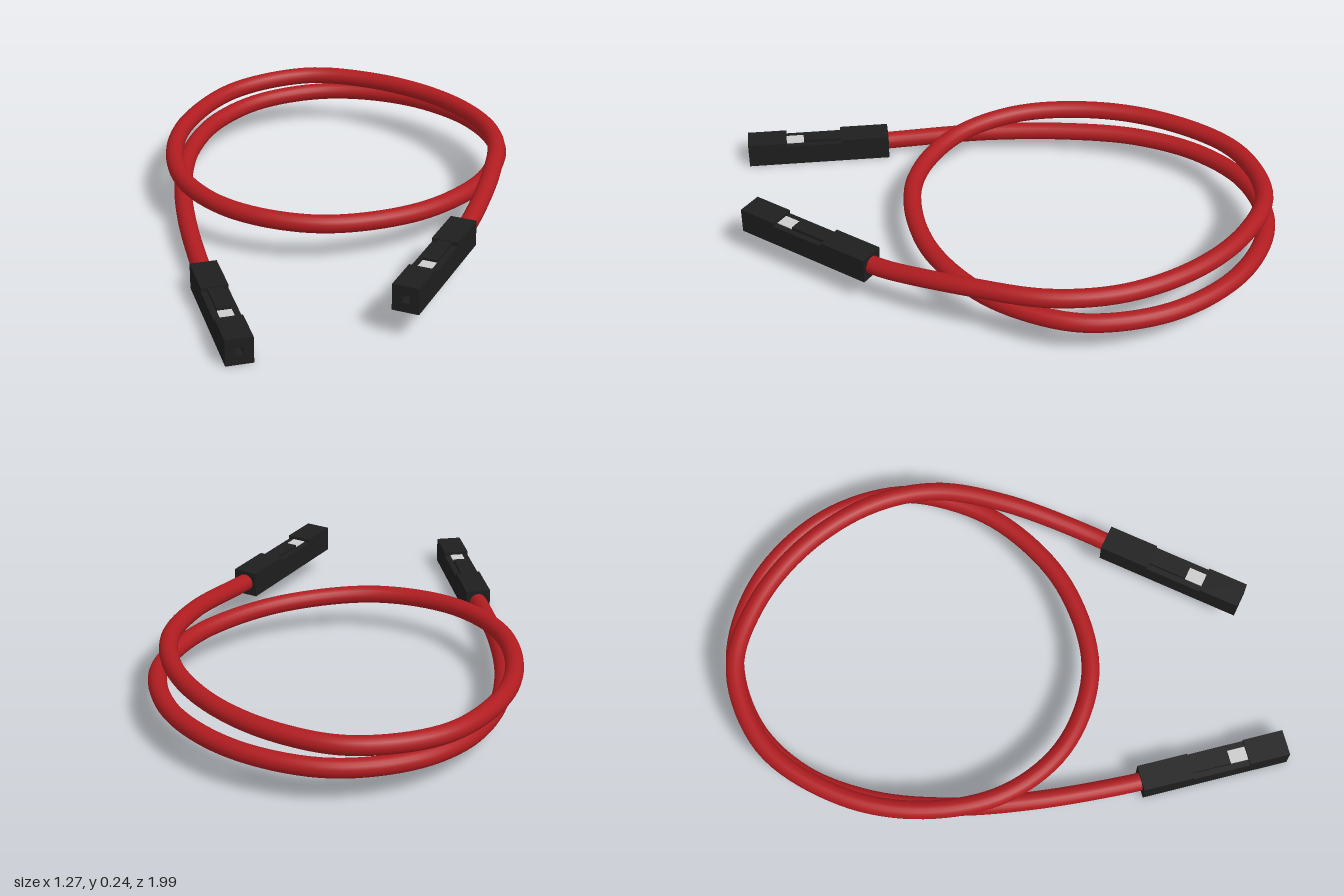
import * as THREE from 'three';

const W = 0.092;       // connector width and height
const LEN = 0.53;      // connector length
const WIRE_R = 0.032;

const red = new THREE.MeshStandardMaterial({ color: 0xb01c20 });
const black = new THREE.MeshStandardMaterial({ color: 0x1e1e1e });
const metal = new THREE.MeshStandardMaterial({ color: 0xcccccc });

function block(name, w, h, z0, z1, y0, material) {
  const mesh = new THREE.Mesh(new THREE.BoxGeometry(w, h, z1 - z0), material);
  mesh.position.set(0, y0 + h / 2, (z0 + z1) / 2);
  mesh.name = name;
  return mesh;
}

// Front end of the housing: a square sleeve with a pin socket
function socketEnd(z0, z1) {
  const shape = new THREE.Shape();
  shape.moveTo(-W / 2, 0).lineTo(W / 2, 0).lineTo(W / 2, W).lineTo(-W / 2, W).closePath();
  const a = 0.013, c = W / 2;
  const hole = new THREE.Path();
  hole.moveTo(-a, c - a).lineTo(-a, c + a).lineTo(a, c + a).lineTo(a, c - a).closePath();
  shape.holes.push(hole);
  const mesh = new THREE.Mesh(
    new THREE.ExtrudeGeometry(shape, { depth: z1 - z0, bevelEnabled: false }), black);
  mesh.position.z = z0;
  mesh.name = 'socketEnd';
  return mesh;
}

// Connector runs along +z from the wire entry, standing on its own y = 0
function connector(name, x, y, z, dx, dz) {
  const g = new THREE.Group();
  g.name = name;
  const n0 = 0.18, n1 = 0.385, floor = W - 0.014;
  g.add(
    block('housingRear', W, W, 0, n0, 0, black),
    block('housingWaist', W, floor, n0, n1, 0, black),
    socketEnd(n1, LEN),
    block('latchTongue', 0.05, 0.011, n0, 0.32, floor, black),
    block('metalContact', 0.048, 0.003, 0.32, n1, floor, metal),
  );
  g.position.set(x, y, z);
  g.rotation.y = Math.atan2(dx, dz);
  return g;
}

export function createModel() {
  const model = new THREE.Group();
  model.name = 'jumperWire';

  // Wire: just over one and a half turns, rising from the low to the high connector
  const path = [
    [-0.465, 0.047, 0.50], [-0.485, 0.05, 0.42], [-0.545, 0.07, 0.10], [-0.57, 0.083, -0.20],
    [-0.545, 0.098, -0.48], [-0.45, 0.108, -0.72], [-0.28, 0.118, -0.89],
    [-0.02, 0.125, -0.967], [0.27, 0.13, -0.885], [0.50, 0.132, -0.67],
    [0.598, 0.132, -0.40], [0.57, 0.13, -0.20], [0.47, 0.13, 0.0], [0.24, 0.133, 0.205],
    [-0.085, 0.142, 0.295], [-0.37, 0.152, 0.20], [-0.545, 0.16, -0.01],
    [-0.603, 0.167, -0.29], [-0.555, 0.175, -0.57], [-0.38, 0.188, -0.84],
    [-0.10, 0.199, -0.953], [0.14, 0.201, -0.89], [0.36, 0.203, -0.73],
    [0.52, 0.205, -0.50], [0.577, 0.205, -0.26], [0.535, 0.19, 0.0],
    [0.425, 0.147, 0.31], [0.385, 0.141, 0.39],
  ].map((p) => new THREE.Vector3(...p));
  const wire = new THREE.Mesh(
    new THREE.TubeGeometry(new THREE.CatmullRomCurve3(path), 200, WIRE_R, 18), red);
  wire.name = 'wire';
  model.add(wire);

  model.add(connector('lowerConnector', -0.475, 0, 0.464, 0.24, 0.97));
  model.add(connector('upperConnector', 0.40, 0.095, 0.361, -0.433, 0.901));
  return model;
}
